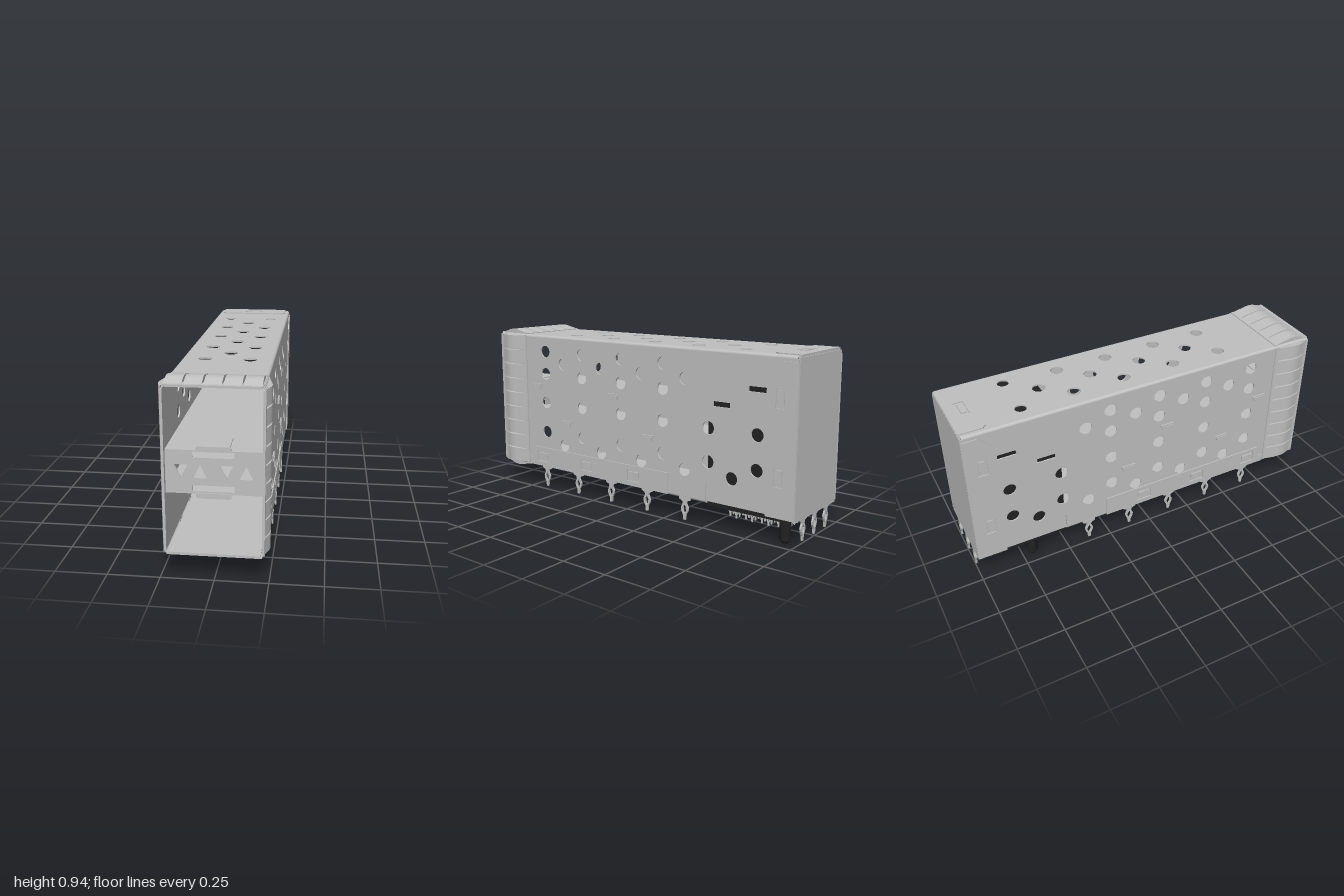
import * as THREE from 'three';

const steel = new THREE.MeshStandardMaterial({ color: 0xc0c0c0, side: THREE.DoubleSide });
steel.name = 'steel';
const black = new THREE.MeshStandardMaterial({ color: 0x222222 });
black.name = 'blackPlastic';

const W = 0.225, Y0 = 0.125, Y1 = 0.913, T = 0.008, R = 0.014;

function poly(points, Kind = THREE.Shape) {
  return new Kind(points.map(([a, b]) => new THREE.Vector2(a, b)));
}
function rect(cx, cy, w, h, Kind) {
  const a = w / 2, b = h / 2;
  return poly([[cx - a, cy - b], [cx + a, cy - b], [cx + a, cy + b], [cx - a, cy + b]], Kind);
}
function circle(cx, cy, r) {
  return new THREE.Path().absarc(cx, cy, r, 0, Math.PI * 2, true);
}
function extrude(shape, depth) {
  return new THREE.ExtrudeGeometry(shape, { depth, bevelEnabled: false, curveSegments: 12 });
}
function add(parent, name, geometry, material = steel) {
  const mesh = new THREE.Mesh(geometry, material);
  mesh.name = name;
  parent.add(mesh);
  return mesh;
}
function box(parent, name, size, pos, material = steel) {
  const mesh = add(parent, name, new THREE.BoxGeometry(...size), material);
  mesh.position.set(...pos);
  return mesh;
}
// Side plates are drawn in (-z, y), horizontal plates in (x, -z)
function sidePlates(parent, name, shape, inner, depth = T) {
  const g = extrude(shape, depth).rotateY(Math.PI / 2);
  add(parent, name + 'Left', g).position.x = inner;
  add(parent, name + 'Right', g).position.x = -inner - depth;
}
function flatPlate(parent, name, shape, y, depth = T) {
  const mesh = add(parent, name, extrude(shape, depth).rotateX(-Math.PI / 2));
  mesh.position.y = y;
  return mesh;
}

// Press-fit pin with an eye, top at y = 0, in the xy plane
function pinGeometry() {
  const half = [[0.036, 0.01], [0.036, -0.004], [0.014, -0.014], [0.012, -0.026], [0.023, -0.05],
    [0.021, -0.066], [0.009, -0.09], [0.007, -0.115]];
  const s = poly([...half, ...half.slice().reverse().map(([x, y]) => [-x, y])]);
  s.holes.push(poly([[0, -0.03], [0.011, -0.05], [0.01, -0.064], [0, -0.084], [-0.01, -0.064], [-0.011, -0.05]], THREE.Path));
  return extrude(s, 0.01).translate(0, 0, -0.005);
}

function buildCage(root) {
  const cage = new THREE.Group();
  cage.name = 'cage';
  root.add(cage);

  // Perforated side walls
  const side = poly([[-1, Y0 + R], [0.498, Y0 + R], [0.498, 0.23], [0.504, 0.23], [0.504, Y0 + R],
    [0.995, Y0 + R], [0.995, Y1 - R], [-1, Y1 - R]]);
  const four = [0.63, 0.345, 0.06, -0.225], offset = [0.49, 0.205, -0.08, -0.365];
  const rows = [[0.82, four], [0.69, four], [0.755, offset], [0.52, [...four, -0.51, -0.79]],
    [0.345, [...four, -0.51, -0.79]], [0.28, [...offset, -0.65]]];
  for (const [y, zs] of rows) for (const z of zs) side.holes.push(circle(-z, y, 0.034));
  for (const [z, y] of [[-0.585, 0.645], [-0.785, 0.74]]) side.holes.push(rect(-z, y, 0.098, 0.026, THREE.Path));
  sidePlates(cage, 'sideWall', side, W - T);

  // Perforated roof
  const roof = rect(0, 0, 2 * (W - R), 1.99);
  for (const z of [0.34, 0.055, -0.23, -0.515]) roof.holes.push(circle(0, -z, 0.034));
  for (const z of [0.48, 0.2, -0.09, -0.37]) for (const x of [-0.11, 0.11]) roof.holes.push(circle(x, -z, 0.034));
  for (const x of [-0.125, 0.125]) roof.holes.push(circle(x, 0.66, 0.03));
  flatPlate(cage, 'roof', roof, Y1 - T);

  // Floor stops at the connector, with an upturned stop plate
  box(cage, 'floor', [2 * (W - R), T, 1.5], [0, Y0 + T / 2, 0.25]);
  box(cage, 'floorStop', [2 * (W - T), 0.1, T], [0, 0.175, -0.495]);

  // Rounded long edges
  for (const [sx, top, start] of [[1, 1, 0], [-1, 1, 1], [-1, 0, 2], [1, 0, 3]]) {
    const len = top ? 1.99 : 1.5;
    const g = new THREE.CylinderGeometry(R, R, len, 5, 1, true, 0, Math.PI / 2);
    g.rotateX(Math.PI / 2).rotateZ(Math.PI / 2 + start * Math.PI / 2);
    add(cage, 'roundedEdge', g).position.set(sx * (W - R), top ? Y1 - R : Y0 + R, 1 - len / 2);
  }

  // Back cover with folded side and top flaps
  box(cage, 'backWall', [2 * W - 0.012, 0.785, 0.01], [0, 0.5125, -0.995]);
  const flap = poly([[0.845, 0.13], [1, 0.13], [1, 0.885], [0.915, 0.885], [0.845, 0.815]]);
  for (const y of [0.33, 0.71]) flap.holes.push(rect(0.913, y, 0.054, 0.095, THREE.Path));
  sidePlates(cage, 'backFlap', flap, W, 0.005);
  const topFlap = poly([[-0.2, 1], [-0.2, 0.875], [-0.18, 0.853], [0.18, 0.853], [0.2, 0.875], [0.2, 1]]);
  topFlap.holes.push(rect(0, 0.92, 0.112, 0.056, THREE.Path));
  flatPlate(cage, 'topFlap', topFlap, Y1, 0.006);
  box(cage, 'topLatch', [0.08, 0.008, 0.028], [0, Y1 + 0.002, -0.915]);
  box(cage, 'backLatch', [0.08, 0.012, 0.012], [0, Y1, -0.993]);

  // Lower side strips with latch windows
  const strip = poly([[-0.775, 0.13], [0.262, 0.13], [0.262, 0.245], [-0.735, 0.245], [-0.75, 0.235], [-0.75, 0.175], [-0.775, 0.175]]);
  for (const z of [0.665, 0.315, -0.03]) strip.holes.push(rect(-z, 0.19, 0.086, 0.064, THREE.Path));
  sidePlates(cage, 'lowerStrip', strip, W, 0.006);

  // Latch tongues and divider hooks on both sides
  for (const s of [-1, 1]) {
    for (const z of [0.665, 0.315, -0.03]) box(cage, 'stripLatch', [0.014, 0.032, 0.07], [s * W, 0.194, z]);
    for (const y of [0.33, 0.71]) box(cage, 'flapLatch', [0.012, 0.075, 0.03], [s * W, y, -0.915]);
    for (const [z, y] of [[0.7, 0.61], [0.11, 0.61], [0.465, 0.413], [-0.125, 0.413]]) {
      box(cage, 'dividerHook', [0.014, 0.02, 0.06], [s * (W + 0.003), y - 0.004, z]);
      box(cage, 'dividerHookHead', [0.01, 0.012, 0.08], [s * (W + 0.002), y + 0.011, z]);
    }
  }

  // Mounting pins along the sides and the back
  const pin = pinGeometry();
  for (const s of [-1, 1]) for (const z of [0.64, 0.385, 0.135, -0.12, -0.37]) {
    const m = add(cage, 'sidePin', pin);
    m.position.set(s * (W - 0.003), Y0, z);
    m.rotation.y = Math.PI / 2;
  }
  for (const x of [-0.125, 0, 0.125]) add(cage, 'backPin', pin).position.set(x, Y0, -0.995);
}

// Sprung fingers bulging around the front opening
function buildGasket(root) {
  const gasket = new THREE.Group();
  gasket.name = 'springGasket';
  gasket.position.y = (Y0 + Y1) / 2;
  root.add(gasket);
  const s = new THREE.Shape();
  s.moveTo(-0.79, 0);
  s.lineTo(-0.79, 0.004);
  s.lineTo(-0.87, 0.02);
  s.quadraticCurveTo(-0.91, 0.029, -0.94, 0.019);
  s.lineTo(-0.985, 0.004);
  s.lineTo(-0.985, 0);
  const h = (Y1 - Y0) / 2;
  for (let k = 0; k < 4; k++) {
    const row = new THREE.Group();
    row.name = 'fingerRow';
    row.rotation.z = k * Math.PI / 2;
    gasket.add(row);
    const n = k % 2 ? 9 : 5, span = k % 2 ? 0.775 : 0.434, pitch = span / n;
    const g = extrude(s, pitch - 0.008).rotateY(Math.PI / 2);
    for (let i = 0; i < n; i++) {
      add(row, 'finger', g).position.set(-span / 2 + i * pitch + 0.004, k % 2 ? W : h, 0);
    }
    // Bands holding the fingers at both ends
    for (const [z, d] of [[0.795, 0.022], [0.975, 0.05]]) {
      box(row, 'gasketBand', [span, 0.005, d], [0, (k % 2 ? W : h) + 0.002, z]);
    }
  }
}

// Hollow divider between the upper and lower bays
function buildDivider(root) {
  const divider = new THREE.Group();
  divider.name = 'divider';
  root.add(divider);
  const w = 2 * (W - T);
  for (const y of [0.418, 0.614]) box(divider, 'dividerPlate', [w, 0.008, 1.47], [0, y, 0.235]);
  const front = rect(0, 0.516, w, 0.204);
  for (const [x, d] of [[-0.147, -1], [-0.06, 1], [0.057, -1], [0.145, 1]]) {
    front.holes.push(poly([[x - 0.03, 0.519 - d * 0.031], [x + 0.03, 0.519 - d * 0.031], [x, 0.519 + d * 0.031]], THREE.Path));
  }
  for (const y of [0.44, 0.598]) front.holes.push(rect(-0.001, y, 0.188, 0.028, THREE.Path));
  add(divider, 'dividerFront', extrude(front, T)).position.z = 0.97;

  // Raised latch lips above and below
  for (const s of [-1, 1]) {
    const lip = poly([[-0.08, 0], [0.08, 0], [0.078, 0.018], [0.07, 0.025], [-0.07, 0.025], [-0.078, 0.018]]);
    const m = add(divider, 'latchLip', extrude(lip, 0.008));
    m.position.set(0, 0.516 + s * 0.097, s > 0 ? 0.976 : 0.984);
    if (s < 0) m.rotation.x = Math.PI;
    box(divider, 'latchTongue', [0.14, 0.006, 0.15], [0, 0.516 + s * 0.113, 0.9]);
  }
}

function buildConnector(root) {
  const connector = new THREE.Group();
  connector.name = 'connector';
  root.add(connector);
  box(connector, 'connectorBody', [2 * (W - T) - 0.002, 0.79, 0.445], [0, 0.508, -0.728], black);

  // Two diagonal locating pegs with chamfered tips
  const peg = new THREE.LatheGeometry([[0, 0], [0.018, 0], [0.028, 0.018], [0.028, 0.12]]
    .map(([r, y]) => new THREE.Vector2(r, y)), 20);
  add(connector, 'locatingPeg', peg, black).position.set(0.175, 0, -0.93);
  add(connector, 'locatingPeg', peg, black).position.set(-0.175, 0, -0.69);

  // Staggered contact pins
  const pin = pinGeometry().scale(0.5, 0.62, 0.6).rotateY(Math.PI / 2);
  for (let r = 0; r < 8; r++) for (let c = 0; c < 8; c++) {
    add(connector, 'contactPin', pin).position.set(-0.12 + c * 0.032 + (r % 2) * 0.016, 0.113, -0.575 - r * 0.0465);
  }
}

export function createModel() {
  const root = new THREE.Group();
  root.name = 'connectorCage';
  buildCage(root);
  buildGasket(root);
  buildDivider(root);
  buildConnector(root);
  return root;
}
